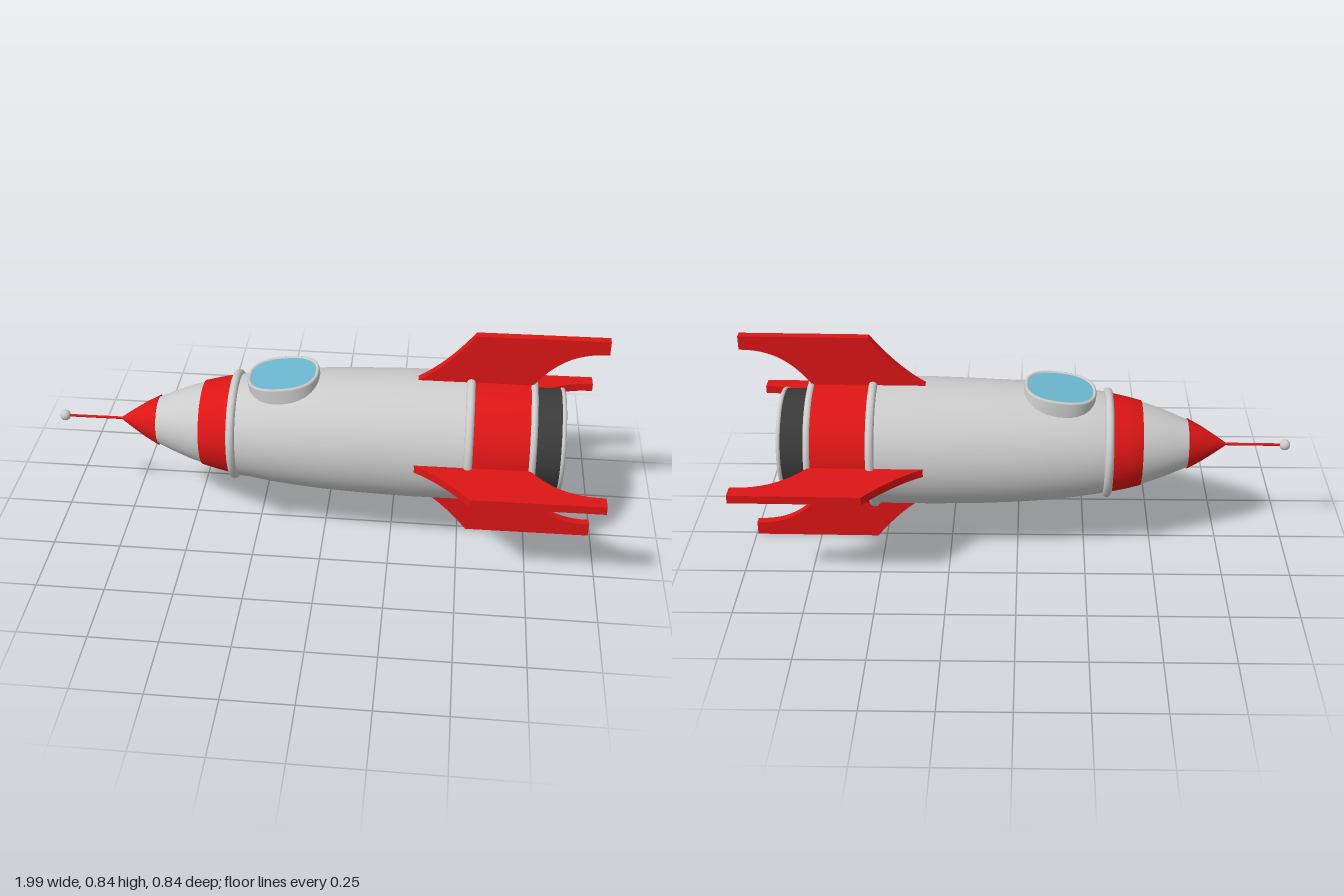
import * as THREE from 'three';

export function createModel() {
  const model = new THREE.Group();
  model.name = 'rocket';
  const mat = (color, side = THREE.FrontSide) => new THREE.MeshStandardMaterial({ color, side });
  const grey = mat(0xcccccc), red = mat(0xdd1515), dark = mat(0x3a3a3a), blue = mat(0x6cb8d0);

  const add = (name, geometry, material) => {
    const mesh = new THREE.Mesh(geometry, material);
    mesh.name = name;
    model.add(mesh);
    return mesh;
  };
  // Turned part along x; profile is [x, radius] from nose to tail
  const turned = (name, profile, material) => {
    const pts = profile.map(([x, r]) => new THREE.Vector2(r, x));
    return add(name, new THREE.LatheGeometry(pts, 48).rotateZ(-Math.PI / 2), material);
  };

  // Antenna
  add('antennaRod', new THREE.CylinderGeometry(0.005, 0.005, 0.23, 10).rotateZ(Math.PI / 2), red).position.x = -0.865;
  add('antennaBall', new THREE.SphereGeometry(0.02, 20, 14), grey).position.x = -0.98;

  // Nose and hull
  turned('noseTip', [[-0.77, 0], [-0.72, 0.034], [-0.67, 0.066], [-0.62, 0.093]], red);
  turned('noseTipBase', [[-0.62, 0.093], [-0.62, 0]], red);
  turned('noseCone', [[-0.622, 0.087], [-0.56, 0.113], [-0.5, 0.136], [-0.445, 0.153]], grey);
  turned('noseBand', [[-0.45, 0.145], [-0.45, 0.156], [-0.4, 0.169], [-0.34, 0.182]], red);
  turned('hull', [[-0.345, 0.175], [-0.31, 0.187], [-0.2, 0.204], [-0.1, 0.215], [0, 0.223],
    [0.12, 0.229], [0.3, 0.234], [0.53, 0.234]], grey);
  turned('tailBand', [[0.52, 0.234], [0.65, 0.234], [0.745, 0.232]], red);

  // Rounded trim rings
  for (const [name, x, r, w] of [['frontRing', -0.328, 0.186, 0.016], ['middleRing', 0.52, 0.232, 0.016], ['rearRing', 0.742, 0.224, 0.014]]) {
    add(name, new THREE.TorusGeometry(r, w, 12, 48).rotateY(Math.PI / 2), grey).position.x = x;
  }

  // Engine
  turned('tailPlate', [[0.754, 0.226], [0.754, 0]], grey);
  turned('engineCollar', [[0.75, 0.184], [0.85, 0.184]], dark);
  turned('engineCap', [[0.842, 0.18], [0.844, 0.187], [0.85, 0.189], [0.857, 0.186], [0.859, 0.178]], grey);
  turned('engineCapFace', [[0.859, 0.179], [0.86, 0]], grey);

  // Four swept fins
  const fin = new THREE.Shape();
  fin.moveTo(0.33, 0.2);
  fin.lineTo(0.33, 0.232);
  fin.quadraticCurveTo(0.43, 0.29, 0.53, 0.42);
  fin.lineTo(0.99, 0.42);
  fin.lineTo(0.99, 0.368);
  fin.bezierCurveTo(0.87, 0.37, 0.8, 0.32, 0.735, 0.228);
  fin.lineTo(0.735, 0.2);
  fin.closePath();
  const finGeometry = new THREE.ExtrudeGeometry(fin, { depth: 0.03, bevelEnabled: false, curveSegments: 12 }).translate(0, 0, -0.015);
  ['topFin', 'frontFin', 'bottomFin', 'backFin'].forEach((name, i) => {
    add(name, finGeometry, red).rotation.x = i * Math.PI / 2;
  });

  // Cockpit window: rounded outline swept through a soft rim section
  const N = 56;
  const outline = (a, inset) => {
    const p = (v) => Math.sign(v) * Math.pow(Math.abs(v), 0.82);
    return [(0.13 - inset) * p(Math.cos(a)), (0.121 - inset) * p(Math.sin(a))];
  };
  const section = [[0, -0.09], [0, -0.008], [0.002, -0.002], [0.006, 0], [0.011, -0.002], [0.014, -0.007], [0.014, -0.02]];
  const pos = [], idx = [], M = section.length;
  for (let i = 0; i <= N; i++) {
    for (const [inset, y] of section) {
      const [x, z] = outline(i / N * Math.PI * 2, inset);
      pos.push(x, y, z);
    }
  }
  for (let i = 0; i < N; i++) {
    for (let j = 0; j < M - 1; j++) {
      const a = i * M + j, b = a + M;
      idx.push(a, a + 1, b, b, a + 1, b + 1);
    }
  }
  const rim = new THREE.BufferGeometry();
  rim.setAttribute('position', new THREE.Float32BufferAttribute(pos, 3));
  rim.setIndex(idx);
  rim.computeVertexNormals();

  const pane = new THREE.Shape(Array.from({ length: N }, (_, i) => new THREE.Vector2(...outline(i / N * Math.PI * 2, 0.012))));
  const cockpit = new THREE.Group();
  cockpit.name = 'cockpitWindow';
  const frame = new THREE.Mesh(rim, mat(0xcccccc, THREE.DoubleSide));
  frame.name = 'windowFrame';
  const glass = new THREE.Mesh(new THREE.ShapeGeometry(pane).rotateX(-Math.PI / 2), blue);
  glass.name = 'windowGlass';
  glass.position.y = -0.005;
  cockpit.add(frame, glass);
  cockpit.position.set(-0.153, 0.23, 0);
  cockpit.rotation.z = 0.115;
  model.add(cockpit);

  // Resting attitude, nose a touch low
  model.position.y = 0.418;
  model.rotation.z = 0.008;
  const root = new THREE.Group();
  root.add(model);
  return root;
}
